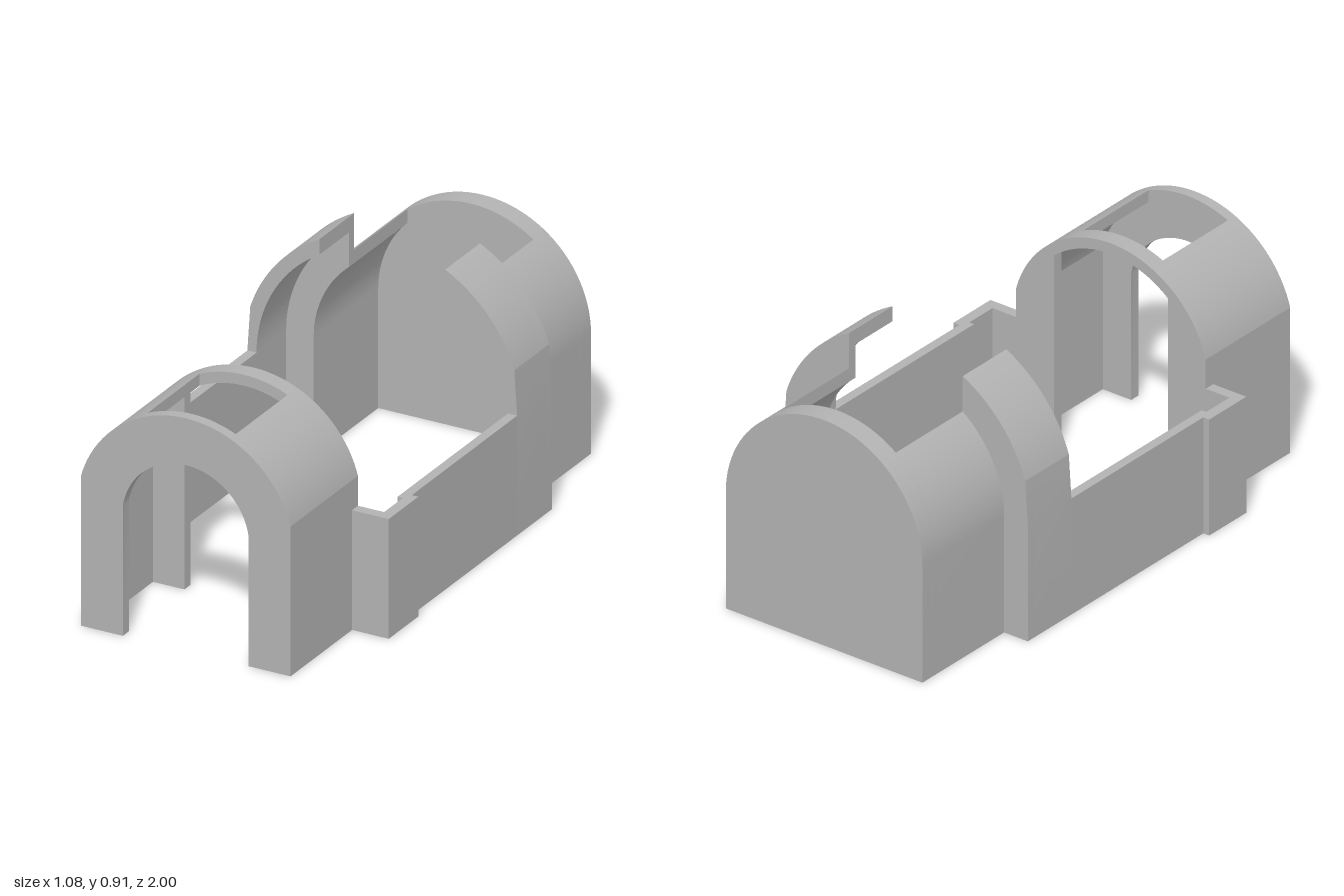
import * as THREE from 'three';
import { toCreasedNormals } from 'three/addons/utils/BufferGeometryUtils.js';

const CY = 0.44; // shared height of the arch centres and of the low walls

// Half profile: up a vertical wall at x = w, then round an arc of radius r until x = cut
function arch(r, w, cut = 0) {
  const pts = [[w, 0]];
  const a0 = Math.acos(Math.min(1, w / r)), a1 = Math.acos(cut / r), n = 24;
  for (let i = 0; i <= n; i++) {
    const a = a0 + (a1 - a0) * i / n;
    pts.push([r * Math.cos(a), CY + r * Math.sin(a)]);
  }
  return pts;
}

// Raised band: slightly leaning wall, then a wider arc
function bandOuter(cut) {
  return [[0.515, 0], [0.515, CY], ...arch(0.53, 0.504, cut).slice(1)];
}

export function createModel() {
  const model = new THREE.Group();
  model.name = 'vaultedHousing';
  const grey = new THREE.MeshStandardMaterial({ color: 0xb2b2b2 });
  grey.name = 'plain grey';

  // Mirrored pair of strips between two half profiles, extruded from z0 to z1
  function strip(name, outer, inner, z0, z1) {
    const group = new THREE.Group();
    group.name = name;
    const outline = [...outer, ...[...inner].reverse()];
    for (const side of [1, -1]) {
      const shape = new THREE.Shape(outline.map(([x, y]) => new THREE.Vector2(side * x, y)));
      const geo = new THREE.ExtrudeGeometry(shape, { depth: z1 - z0, bevelEnabled: false });
      geo.translate(0, 0, z0);
      const mesh = new THREE.Mesh(toCreasedNormals(geo, 0.2), grey);
      mesh.name = name + (side > 0 ? 'Left' : 'Right');
      group.add(mesh);
    }
    model.add(group);
  }

  // Mirrored pair of low wall blocks
  function wall(name, x0, x1, z0, z1) {
    for (const side of [1, -1]) {
      const mesh = new THREE.Mesh(new THREE.BoxGeometry(x1 - x0, CY, z1 - z0), grey);
      mesh.position.set(side * (x0 + x1) / 2, CY / 2, (z0 + z1) / 2);
      mesh.name = name + (side > 0 ? 'Left' : 'Right');
      model.add(mesh);
    }
  }

  // Front vault: arched doorway, roof with hatch, rear frame
  strip('frontDoorwayWall', arch(0.415, 0.4), arch(0.243, 0.24), 0.96, 1);
  strip('frontVaultSide', arch(0.415, 0.4, 0.168), arch(0.375, 0.36, 0.168), 0.61, 0.96);
  strip('frontVaultRib', arch(0.415, 0.4), arch(0.375, 0.36), 0.585, 0.61);
  strip('frontVaultFrame', arch(0.415, 0.4), arch(0.375, 0.24), 0.545, 0.585);

  // Low corner boxes and middle walls
  wall('cornerFront', 0.4, 0.54, 0.545, 0.585);
  wall('cornerSide', 0.5, 0.54, 0.42, 0.545);
  wall('cornerStep', 0.48, 0.54, 0.385, 0.42);
  wall('middleWall', 0.48, 0.515, -0.325, 0.385);

  // Raised band, open along the top
  strip('raisedBand', bandOuter(0.24), arch(0.48, 0.48, 0.24), -0.525, -0.325);
  strip('raisedBandEnd', bandOuter(0.24), arch(0.375, 0.375, 0.24), -0.56, -0.525);

  // Back vault: slotted roof, lip and closed end wall
  strip('backVaultSide', arch(0.415, 0.415, 0.24), arch(0.375, 0.375, 0.24), -0.92, -0.56);
  strip('backVaultLip', arch(0.415, 0.415), arch(0.375, 0.375), -0.96, -0.92);
  strip('backWall', arch(0.415, 0.415), [[0, 0]], -1, -0.96);

  return model;
}
